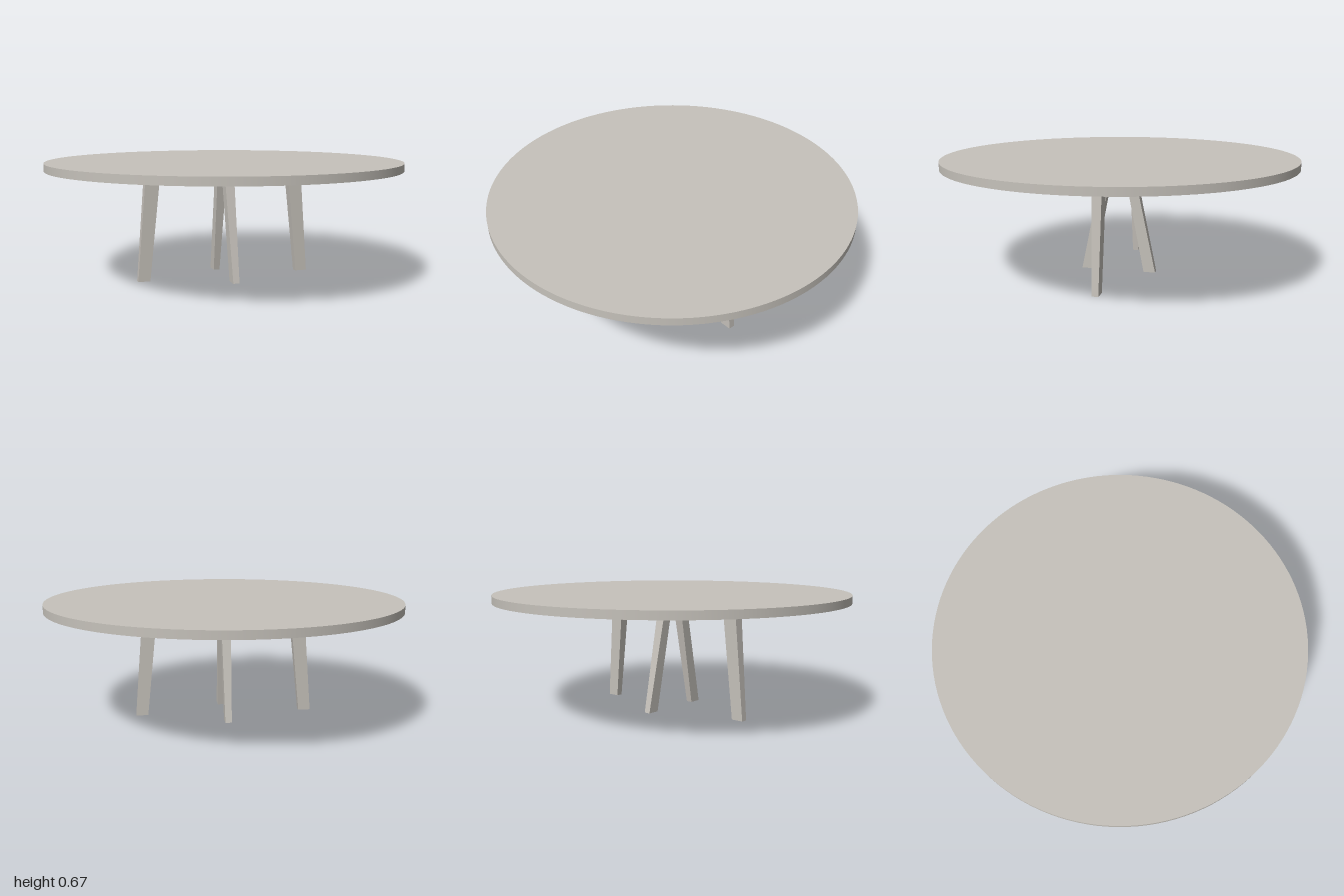
import * as THREE from 'three';

const UNDERSIDE = 0.627, TOP = 0.67, BAR = 0.6;

// Upside-down U frame: two splayed legs joined by a thin bar, thinner toward the floor
function makeFrame(name, material, { footOut, footIn, topOut, topIn }) {
  const half = [[footIn, 0], [footOut, 0], [topOut, UNDERSIDE]];
  const outline = [
    ...half,
    ...half.slice().reverse().map(([x, y]) => [-x, y]),
    [-topIn, BAR], [topIn, BAR],
  ];
  const shape = new THREE.Shape(outline.map(([x, y]) => new THREE.Vector2(x, y)));
  const geometry = new THREE.ExtrudeGeometry(shape, { depth: 1, bevelEnabled: false });
  geometry.translate(0, 0, -0.5);

  // Taper the thickness with height
  const p = geometry.attributes.position;
  for (let i = 0; i < p.count; i++) {
    const thickness = THREE.MathUtils.lerp(0.036, 0.056, p.getY(i) / UNDERSIDE);
    p.setZ(i, p.getZ(i) * thickness);
  }
  geometry.computeVertexNormals();

  const mesh = new THREE.Mesh(geometry, material);
  mesh.name = name;
  return mesh;
}

export function createModel() {
  const group = new THREE.Group();
  group.name = 'roundTable';
  const material = new THREE.MeshStandardMaterial({ color: 0xc6c2bb });
  material.name = 'warm grey';

  // Round top
  const top = new THREE.Mesh(new THREE.CylinderGeometry(1, 1, TOP - UNDERSIDE, 128), material);
  top.name = 'tableTop';
  top.position.y = (TOP + UNDERSIDE) / 2;
  group.add(top);

  // Wide frame across x
  const wide = makeFrame('wideLegFrame', material,
    { footOut: 0.512, footIn: 0.443, topOut: 0.46, topIn: 0.381 });
  wide.position.z = 0.006;

  // Narrow, strongly splayed frame across z
  const narrow = makeFrame('narrowLegFrame', material,
    { footOut: 0.219, footIn: 0.151, topOut: 0.086, topIn: 0.036 });
  narrow.rotation.y = Math.PI / 2;
  narrow.position.z = 0.006;

  group.add(wide, narrow);
  return group;
}
